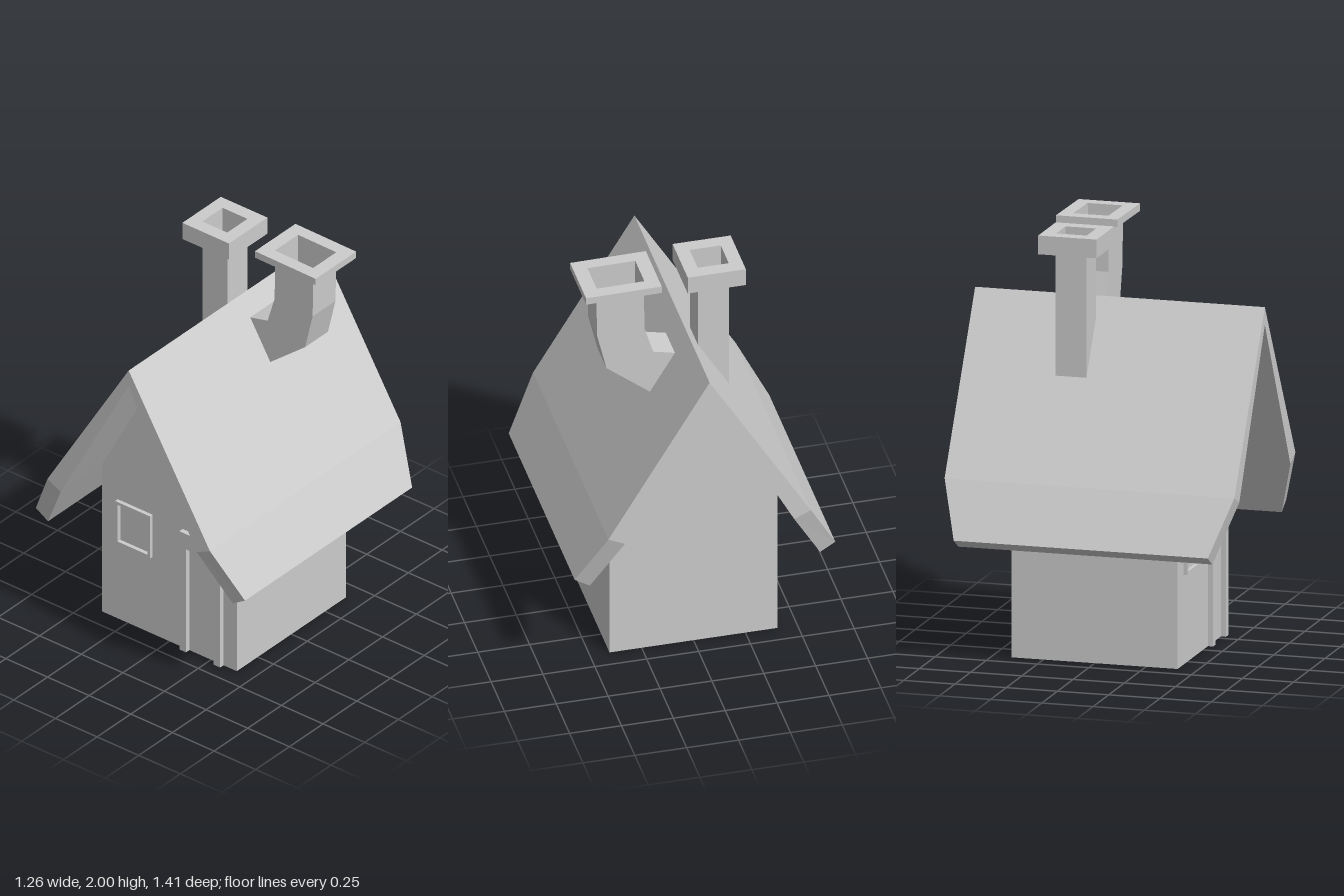
import * as THREE from 'three';

const stone = new THREE.MeshStandardMaterial({ color: 0xcccccc, side: THREE.DoubleSide });
stone.name = 'stone grey';

// Lofts a rectangular section through stations [ax, ay, bx, by, zFront, zBack]
function loft(stations, capped) {
  const rings = stations.map(([ax, ay, bx, by, f, b]) =>
    [[ax, ay, f], [ax, ay, b], [bx, by, b], [bx, by, f]]);
  const pos = [];
  const quad = (a, b, c, d) => [a, b, c, a, c, d].forEach((p) => pos.push(...p));
  for (let i = 0; i < rings.length - 1; i++) {
    const r = rings[i], s = rings[i + 1];
    for (let j = 0; j < 4; j++) {
      const k = (j + 1) % 4;
      quad(r[j], s[j], s[k], r[k]);
    }
  }
  if (capped) {
    quad(...rings[0]);
    quad(...rings[rings.length - 1].slice().reverse());
  }
  const geo = new THREE.BufferGeometry();
  geo.setAttribute('position', new THREE.Float32BufferAttribute(pos, 3));
  geo.computeVertexNormals();
  return geo;
}

const polygon = (pts) => pts.map(([x, y]) => new THREE.Vector2(x, y));
const rect = (x0, y0, x1, y1) => [[x0, y0], [x1, y0], [x1, y1], [x0, y1]];

// Extrudes an outline, with an optional hole, along z
function slab(outline, depth, hole) {
  const shape = new THREE.Shape(polygon(outline));
  if (hole) shape.holes.push(new THREE.Path(polygon(hole)));
  return new THREE.ExtrudeGeometry(shape, { depth, bevelEnabled: false });
}

export function createModel() {
  const house = new THREE.Group();
  house.name = 'cottage';
  const add = (name, geo) => {
    const mesh = new THREE.Mesh(geo, stone);
    mesh.name = name;
    house.add(mesh);
    return mesh;
  };

  // Walls with gables front and back
  const W = 0.405;
  add('walls', slab([[-W, 0], [W, 0], [W, 0.82], [0, 1.58], [-W, 0.82]], 2 * W))
    .position.z = -W;

  // Roof folded over the ridge, with clipped eave corners
  const half = [[0.628, 0.595, 0.555, 0.55, 0.62], [0.488, 0.858, 0.408, 0.82, 0.707]];
  const station = (s) => ([ox, oy, ix, iy, z]) => [s * ox, oy, s * ix, iy, z, -z];
  add('roof', loft([
    ...half.map(station(-1)),
    [0, 1.665, 0, 1.58, 0.707, -0.707],
    ...half.slice().reverse().map(station(1)),
  ], true));

  // Raised door surround and window frame
  add('doorFrame', slab([[0.08, 0], [0.12, 0], [0.12, 0.575], [0.285, 0.575],
    [0.285, 0], [0.325, 0], [0.325, 0.66], [0.08, 0.66]], 0.025)).position.z = W;
  add('windowFrame', slab(rect(-0.31, 0.43, -0.1, 0.665), 0.02,
    rect(-0.295, 0.445, -0.115, 0.65))).position.z = W;

  // Straight chimney, open at the top
  add('straightChimney', loft([
    [-0.21, 1.28, -0.06, 1.53, -0.1, -0.25],
    [-0.21, 1.99, -0.06, 1.99, -0.1, -0.25],
  ], false));

  // Bent chimney growing out of the roof slope
  add('bentChimney', loft([
    [0.06, 1.565, 0.18, 1.365],
    [0.165, 1.59, 0.39, 1.535],
    [0.207, 1.73, 0.435, 1.725],
    [0.21, 1.99, 0.44, 1.985],
  ].map((s) => [...s, -0.12, -0.29]), false));

  // Square collars around the chimney mouths
  const collar = (name, x, z, w, d, h, hw, hd, tilt) => {
    const geo = slab(rect(-w / 2, -d / 2, w / 2, d / 2), h,
      rect(-hw / 2, -hd / 2, hw / 2, hd / 2));
    geo.rotateX(-Math.PI / 2).translate(0, -h, 0);
    const mesh = add(name, geo);
    mesh.position.set(x, tilt ? 1.998 : 2, z);
    mesh.rotation.z = tilt;
  };
  collar('straightChimneyCollar', -0.135, -0.173, 0.28, 0.285, 0.09, 0.15, 0.15, 0);
  collar('bentChimneyCollar', 0.323, -0.206, 0.365, 0.3, 0.036, 0.23, 0.172, -0.012);

  return house;
}
